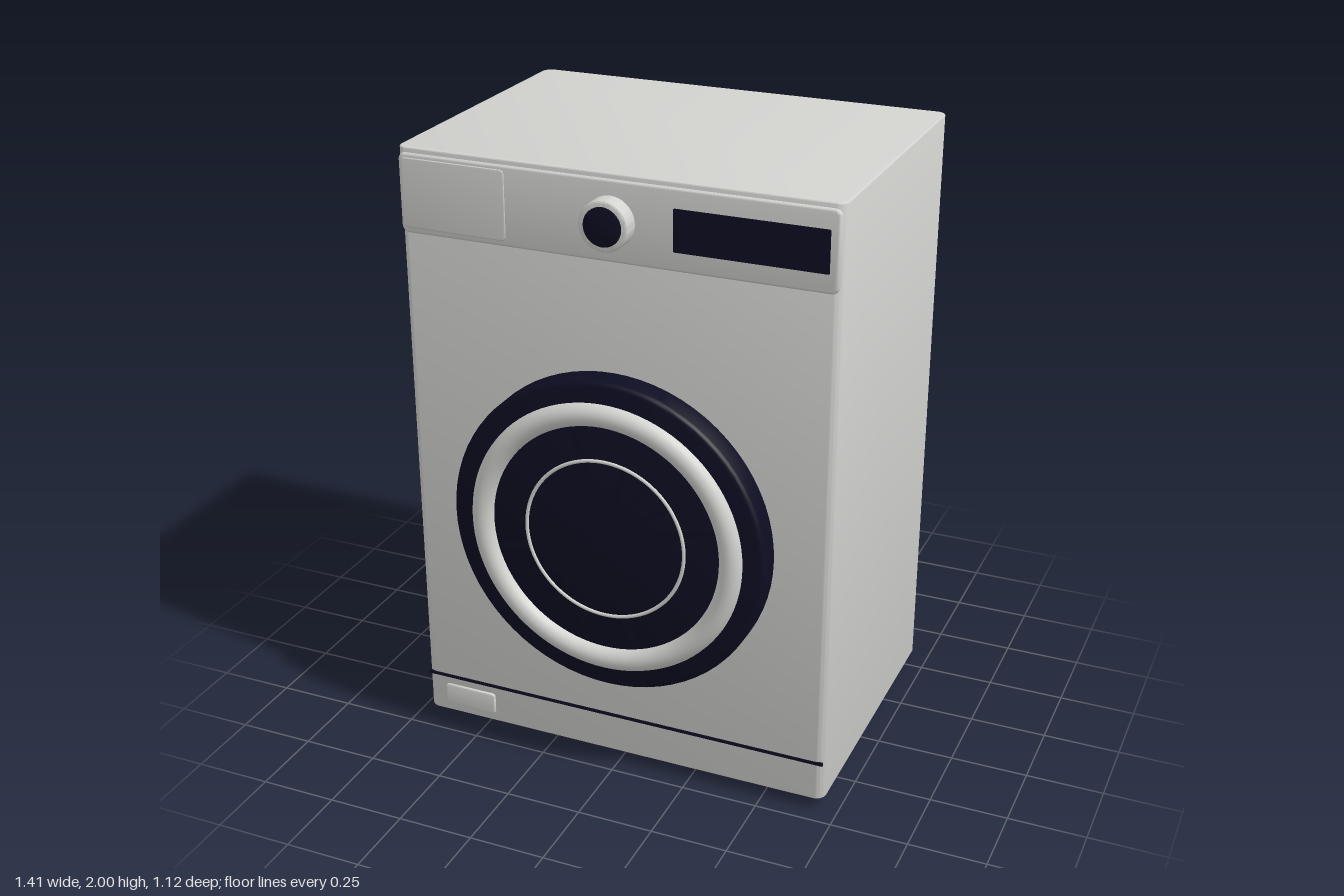
import * as THREE from 'three';
import { toCreasedNormals } from 'three/addons/utils/BufferGeometryUtils.js';

const material = (name, color) => {
  const m = new THREE.MeshStandardMaterial({ color });
  m.name = name;
  return m;
};

// Rounded rectangle centred on the origin, extruded along +z from 0 to depth
function slab(w, h, depth, radius, bevel = 0) {
  const x = w / 2 - bevel, y = h / 2 - bevel, r = radius;
  const s = new THREE.Shape();
  s.moveTo(-x + r, -y);
  s.lineTo(x - r, -y);
  s.absarc(x - r, -y + r, r, -Math.PI / 2, 0);
  s.absarc(x - r, y - r, r, 0, Math.PI / 2);
  s.absarc(-x + r, y - r, r, Math.PI / 2, Math.PI);
  s.absarc(-x + r, -y + r, r, Math.PI, Math.PI * 1.5);
  const g = new THREE.ExtrudeGeometry(s, {
    depth: depth - 2 * bevel, curveSegments: 8, bevelEnabled: bevel > 0,
    bevelSize: bevel, bevelThickness: bevel, bevelSegments: 3,
  });
  g.translate(0, 0, bevel);
  return toCreasedNormals(g, 0.6);
}

// Turned part facing +z, with a rounded front rim
function disc(radius, depth, round) {
  const pts = [new THREE.Vector2(0, 0), new THREE.Vector2(radius, 0)];
  for (let i = 0; i <= 6; i++) {
    const a = (i / 6) * Math.PI / 2;
    pts.push(new THREE.Vector2(radius - round + round * Math.cos(a), depth - round + round * Math.sin(a)));
  }
  pts.push(new THREE.Vector2(0, depth));
  const g = new THREE.LatheGeometry(pts, 72);
  g.rotateX(Math.PI / 2);
  return toCreasedNormals(g, 0.6);
}

export function createModel() {
  const model = new THREE.Group();
  model.name = 'washingMachine';
  const white = material('enamel', 0xd2d2cf);
  const dark = material('darkNavy', 0x0d0d22);
  const FRONT = 0.445;

  const add = (name, geometry, mat, x, y, z, parent = model) => {
    const mesh = new THREE.Mesh(geometry, mat);
    mesh.name = name;
    mesh.position.set(x, y, z);
    parent.add(mesh);
    return mesh;
  };

  // Cabinet with rounded upright edges
  const cabinet = slab(1.41, 1.005, 1.96, 0.03, 0.004);
  cabinet.rotateX(-Math.PI / 2);
  add('cabinet', cabinet, white, 0, 0.04, -0.0575);

  // Control panel, detergent drawer and display
  add('controlPanel', slab(1.39, 0.25, 0.03, 0.015, 0.008), white, 0, 1.86, FRONT - 0.022);
  add('detergentDrawer', slab(0.345, 0.22, 0.02, 0.01, 0.004), white, -0.513, 1.862, FRONT - 0.01);
  add('display', slab(0.47, 0.13, 0.008, 0.004), dark, 0.432, 1.86, FRONT + 0.003);

  // Programme knob
  const knob = new THREE.Group();
  knob.name = 'knob';
  knob.position.set(0, 1.86, FRONT);
  model.add(knob);
  add('knobBody', disc(0.078, 0.063, 0.008), white, 0, 0, 0, knob);
  add('knobCap', disc(0.06, 0.004, 0.001), dark, 0, 0, 0.062, knob);

  // Round door
  const door = new THREE.Group();
  door.name = 'door';
  door.position.set(0, 0.862, FRONT);
  model.add(door);
  add('doorFrame', disc(0.522, 0.083, 0.02), dark, 0, 0, 0, door);
  add('doorRing', new THREE.TorusGeometry(0.416, 0.038, 20, 96), white, 0, 0, 0.077, door);
  add('glassTrim', new THREE.TorusGeometry(0.264, 0.006, 8, 96), white, 0, 0, 0.083, door);

  // Plinth seam and filter flap
  add('plinthSeam', new THREE.BoxGeometry(1.4, 0.01, 0.008), dark, 0, 0.175, FRONT);
  add('filterFlap', slab(0.185, 0.075, 0.018, 0.008, 0.004), white, -0.543, 0.107, FRONT - 0.01);

  // Feet
  for (const x of [-0.575, 0.575])
    for (const z of [0.308, -0.42])
      add('foot', new THREE.CylinderGeometry(0.05, 0.05, 0.045, 24), dark, x, 0.0225, z);

  return model;
}
